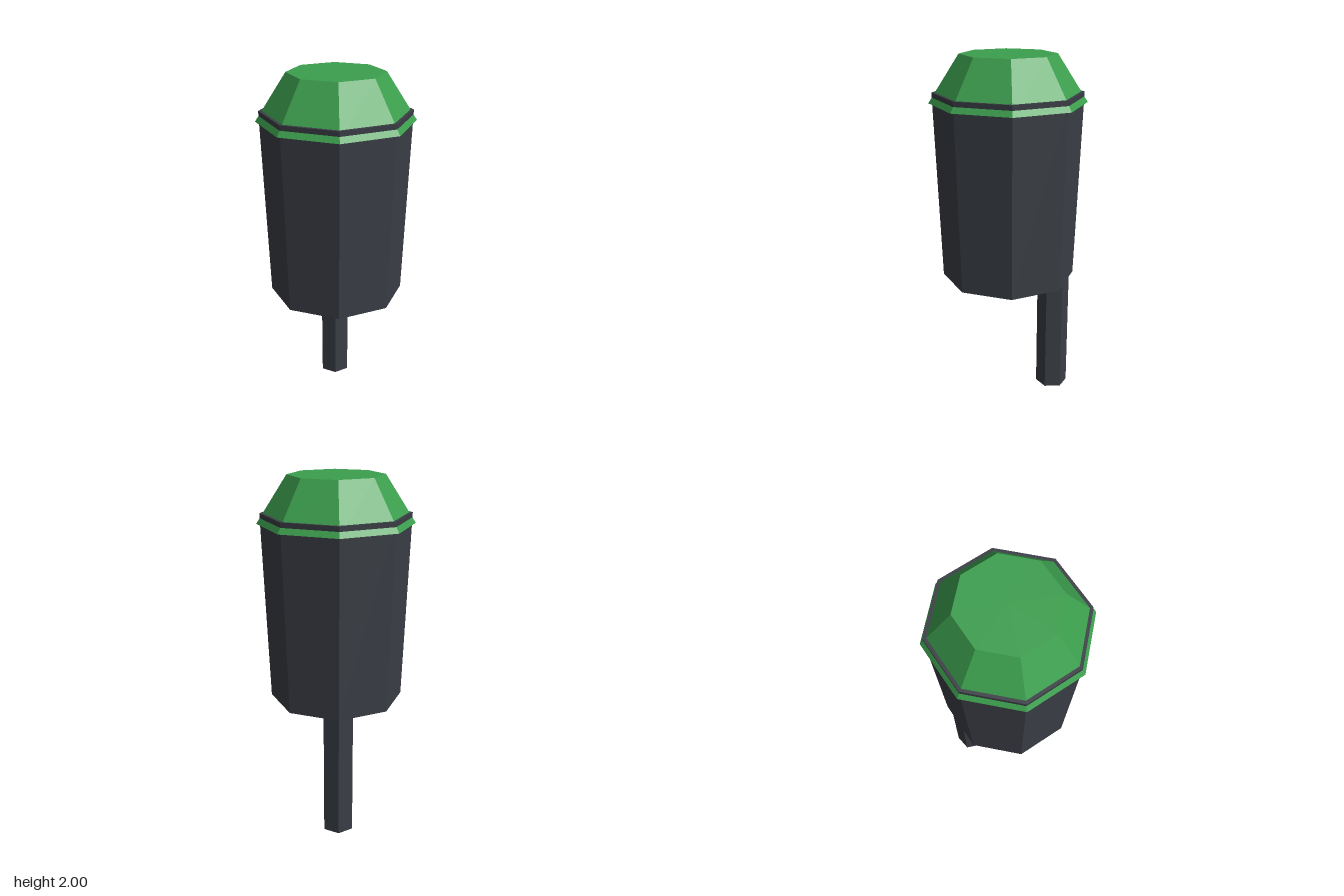
import * as THREE from 'three';

export function createModel() {
  const model = new THREE.Group();
  model.name = 'litterBin';

  const darkGrey = new THREE.MeshStandardMaterial({ color: 0x3a3e45, flatShading: true });
  darkGrey.name = 'darkGrey';
  const green = new THREE.MeshStandardMaterial({ color: 0x3c9f4e, flatShading: true });
  green.name = 'green';

  // Faceted, tapered column between two heights
  function column(name, material, rTop, rBottom, yBottom, yTop, sides, z = 0) {
    const geometry = new THREE.CylinderGeometry(rTop, rBottom, yTop - yBottom, sides);
    const mesh = new THREE.Mesh(geometry, material);
    mesh.name = name;
    mesh.position.set(0, (yBottom + yTop) / 2, z);
    model.add(mesh);
  }

  // Hexagonal post near the back, running up to the underside of the bin
  column('post', darkGrey, 0.093, 0.093, 0, 0.74, 6, -0.267);
  // Octagonal bin, its rim poking through the lid's slope
  column('binBody', darkGrey, 0.417, 0.381, 0.73, 1.795, 8);
  // Sloped lid with a flat top
  column('lid', green, 0.266, 0.436, 1.737, 2, 8);

  return model;
}
